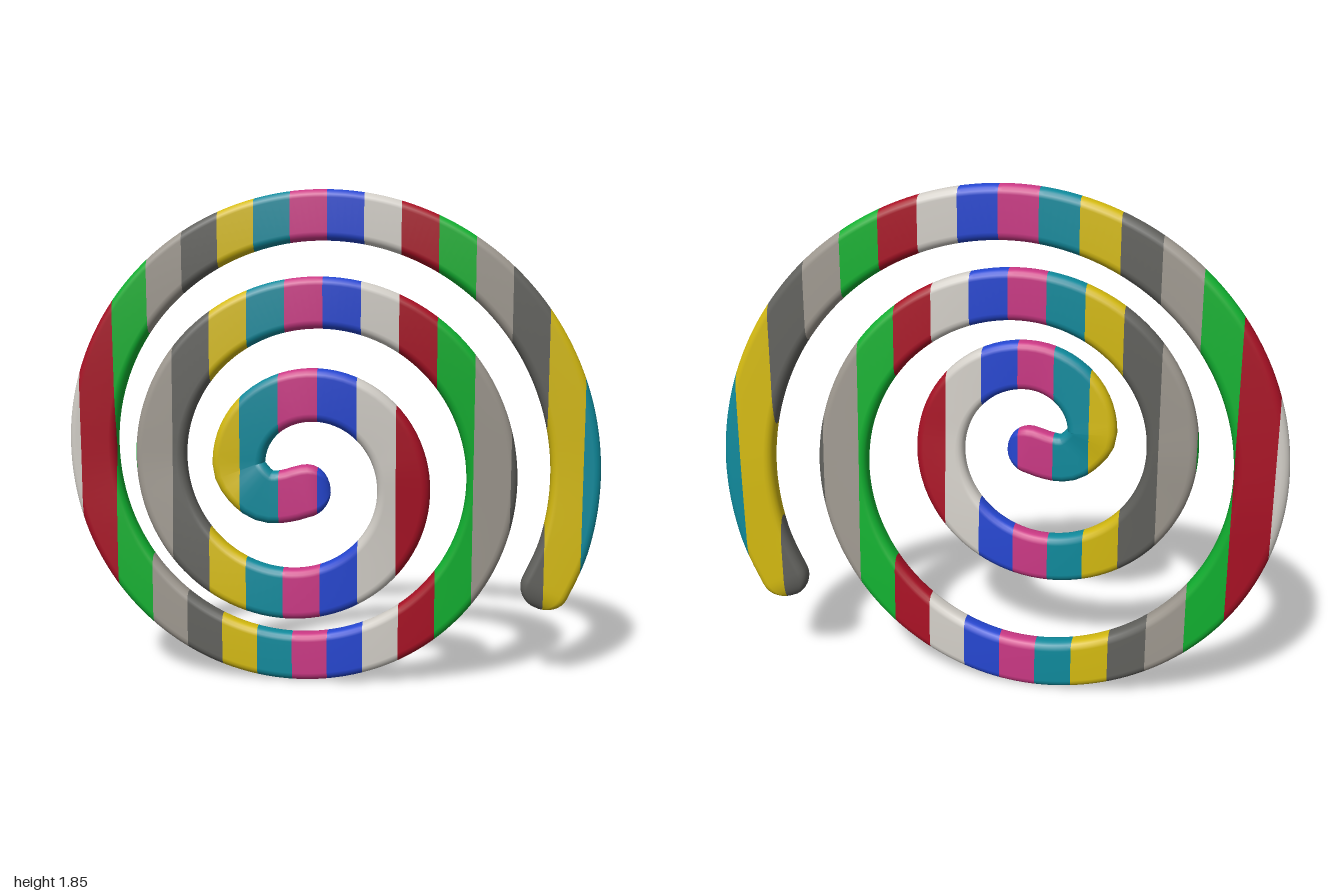
import * as THREE from 'three';

// Stripe colours, repeating along x
const PALETTE = [
  ['red', 0xa81024], ['green', 0x10b030], ['lightGrey', 0x9e988f], ['darkGrey', 0x61615d], ['yellow', 0xd4ba10],
  ['teal', 0x0f8a9c], ['magenta', 0xca3884], ['blue', 0x2546d0], ['white', 0xd2cec7],
];
const STRIPE = 0.1352, STRIPE_START = -0.963;
const HALF_W = 0.092, HALF_D = 0.039, CORNER = 0.03, CAP = 0.085;

// Centre line: a small inner hook followed by an even spiral, drifting backwards
function spiralCurve() {
  const pts = [[0.027, 0.807], [-0.059, 0.797], [-0.112, 0.781], [-0.171, 0.772], [-0.214, 0.781], [-0.257, 0.815]]
    .map(([x, y]) => new THREE.Vector3(x, y, 0.195));
  // depth at each quarter turn
  const depth = [0.185, 0.197, 0.165, 0.105, 0.043, 0.02, -0.06, -0.145, -0.175, -0.14, -0.19, -0.197];
  for (let deg = 7; deg <= 933; deg += 15.433) {
    const a = THREE.MathUtils.degToRad(deg), r = 0.205 + 0.3135 * deg / 360;
    const q = Math.min(Math.floor(deg / 90), 10);
    const z = THREE.MathUtils.lerp(depth[q], depth[q + 1], deg / 90 - q);
    pts.push(new THREE.Vector3(-0.085 - r * Math.cos(a), 0.845 + r * Math.sin(a), z));
  }
  return new THREE.CatmullRomCurve3(pts, false, 'centripetal');
}

// Rounded rectangle cross-section
function sectionPoints() {
  const out = [];
  [[1, 1], [-1, 1], [-1, -1], [1, -1]].forEach(([sx, sy], k) => {
    for (let i = 0; i <= 4; i++) {
      const a = (k + i / 4) * Math.PI / 2;
      out.push([sx * (HALF_W - CORNER) + CORNER * Math.cos(a), sy * (HALF_D - CORNER) + CORNER * Math.sin(a)]);
    }
  });
  return out;
}

// Sweep the section along the curve, with rounded ends
function sweptTube() {
  const curve = spiralCurve();
  curve.arcLengthDivisions = 2000;
  const len = curve.getLength(), section = sectionPoints(), m = section.length;
  const stops = [];
  const capStops = [0, 1, 2, 3, 4, 5, 6, 7].map(i => CAP * (1 - Math.cos(i / 8 * Math.PI / 2)));
  stops.push(...capStops);
  for (let i = 0; i <= 400; i++) stops.push(CAP + (len - 2 * CAP) * i / 400);
  stops.push(...capStops.map(s => len - s).reverse());

  const pos = [], index = [];
  stops.forEach((s, i) => {
    const u = Math.min(1, Math.max(0, s / len));
    const c = curve.getPointAt(u), t = curve.getTangentAt(u);
    const l = Math.hypot(t.x, t.y);
    const e = 1 - Math.min(1, Math.min(s, len - s) / CAP);
    const scale = Math.sqrt(Math.max(0, 1 - e * e));
    for (const [a, b] of section) pos.push(c.x + t.y / l * a * scale, c.y - t.x / l * a * scale, c.z + b * scale);
    if (i === 0) return;
    for (let j = 0; j < m; j++) {
      const k = (j + 1) % m, p = (i - 1) * m, q = i * m;
      index.push(p + j, q + j, p + k, p + k, q + j, q + k);
    }
  });
  const geo = new THREE.BufferGeometry();
  geo.setAttribute('position', new THREE.Float32BufferAttribute(pos, 3));
  geo.setIndex(index);
  geo.computeVertexNormals();
  return geo;
}

// Keep the side of a polygon where sign * (x - limit) >= 0; corners are [x,y,z,nx,ny,nz]
function clip(poly, limit, sign) {
  const out = [];
  poly.forEach((a, i) => {
    const b = poly[(i + 1) % poly.length];
    const da = sign * (a[0] - limit), db = sign * (b[0] - limit);
    if (da >= 0) out.push(a);
    if (da * db < 0) out.push(a.map((v, k) => v + (b[k] - v) * da / (da - db)));
  });
  return out;
}

export function createModel() {
  const group = new THREE.Group();
  group.name = 'stripedSpiral';
  const materials = PALETTE.map(([name, color]) => {
    const mat = new THREE.MeshStandardMaterial({ color });
    mat.name = name;
    return mat;
  });

  const tube = sweptTube();
  const P = tube.attributes.position, N = tube.attributes.normal, idx = tube.index.array;
  const corner = i => [P.getX(i), P.getY(i), P.getZ(i), N.getX(i), N.getY(i), N.getZ(i)];

  // Cut the tube into vertical colour bands
  const bands = new Map();
  for (let f = 0; f < idx.length; f += 3) {
    const tri = [corner(idx[f]), corner(idx[f + 1]), corner(idx[f + 2])];
    const ks = tri.map(c => Math.floor((c[0] - STRIPE_START) / STRIPE));
    for (let k = Math.min(...ks); k <= Math.max(...ks); k++) {
      const x0 = STRIPE_START + k * STRIPE;
      const poly = clip(clip(tri, x0, 1), x0 + STRIPE, -1);
      if (!bands.has(k)) bands.set(k, { pos: [], nor: [] });
      const band = bands.get(k);
      for (let i = 1; i < poly.length - 1; i++) {
        for (const c of [poly[0], poly[i], poly[i + 1]]) {
          band.pos.push(c[0], c[1], c[2]);
          band.nor.push(c[3], c[4], c[5]);
        }
      }
    }
  }
  for (const [k, { pos, nor }] of bands) {
    const geo = new THREE.BufferGeometry();
    geo.setAttribute('position', new THREE.Float32BufferAttribute(pos, 3));
    geo.setAttribute('normal', new THREE.Float32BufferAttribute(nor, 3));
    const c = (k + 9) % 9;
    const mesh = new THREE.Mesh(geo, materials[c]);
    mesh.name = `${PALETTE[c][0]}Band${k + 2}`;
    group.add(mesh);
  }
  return group;
}
